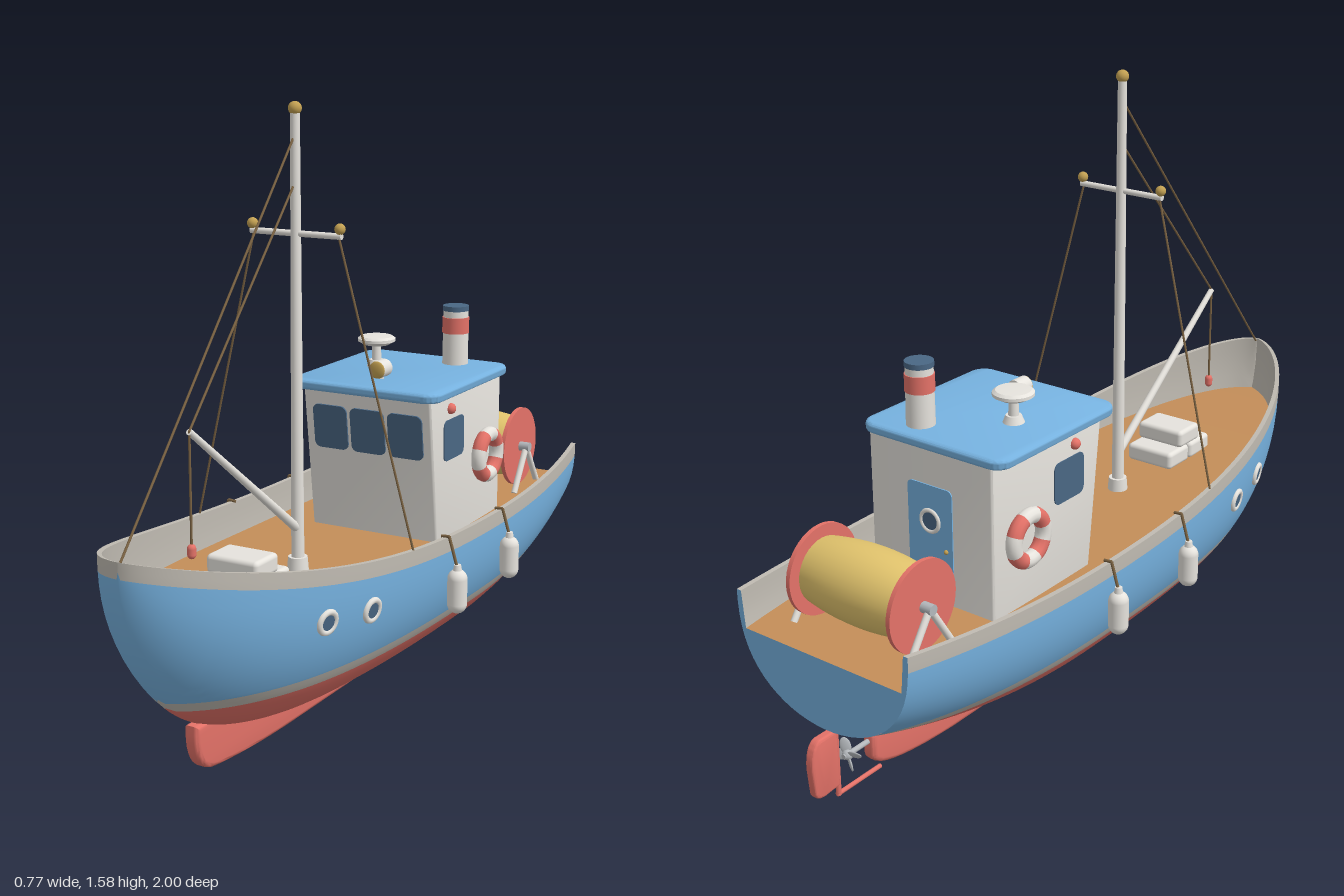
import * as THREE from 'three';
import { toCreasedNormals } from 'three/addons/utils/BufferGeometryUtils.js';
import { RoundedBoxGeometry } from 'three/addons/geometries/RoundedBoxGeometry.js';

const mat = (name, color) => Object.assign(new THREE.MeshStandardMaterial({ color }), { name });

// hull lines: rail height, half width, bottom profile, deck height
const sheer = z => z > -0.3 ? 0.47 + 0.16 * ((z + 0.3) / 1.3) ** 2.3 : 0.47 + 0.025 * ((-0.3 - z) / 0.64) ** 2;
const beam = z => z > -0.2 ? 0.335 * (1 - Math.min(1, (z + 0.2) / 1.2) ** 2.8) ** 0.6 : 0.335 - 0.065 * ((-0.2 - z) / 0.74) ** 2.2;
const bottom = z => z > 0.3 ? 0.08 + 0.55 * (1 - Math.sqrt(Math.max(0, 1 - ((z - 0.3) / 0.7) ** 2.8)))
  : 0.08 + 0.13 * (Math.max(0, -0.2 - z) / 0.74) ** 2;
const deckY = z => 0.385 + 0.6 * (sheer(z) - 0.475);
function hullX(z, y) {
  const k = bottom(z), t = THREE.MathUtils.clamp((y - k) / Math.max(1e-4, sheer(z) - k), 0, 1);
  const e = 0.5 + 0.35 * Math.max(0, (z + 0.2) / 1.2) ** 3;
  return beam(z) * (1 - (1 - t) ** 2.6) ** e;
}
const inner = (z, y) => Math.max(0, hullX(z, y) - 0.014);
const STERN = -0.94, NU = 72;
const station = u => STERN + (1 - STERN) * Math.sin(u * Math.PI / 2);

// surface through a grid of points; bands = rows per material group
function surface(nv, fn, flip, bands) {
  const pos = [], idx = [], g = new THREE.BufferGeometry();
  for (let j = 0; j <= nv; j++) for (let i = 0; i <= NU; i++) pos.push(...fn(station(i / NU), j));
  for (let j = 0; j < nv; j++) for (let i = 0; i < NU; i++) {
    const a = j * (NU + 1) + i, b = a + 1, c = a + NU + 1, d = c + 1;
    idx.push(...(flip ? [a, c, b, b, c, d] : [a, b, c, b, d, c]));
  }
  g.setAttribute('position', new THREE.Float32BufferAttribute(pos, 3));
  g.setIndex(idx);
  let row = 0;
  if (bands) bands.forEach((n, m) => { g.addGroup(row * NU * 6, n * NU * 6, m); row += n; });
  g.computeVertexNormals();
  return g;
}

// plate with a (z, y) outline, centred across x
function sidePlate(shape, width, bevel) {
  const depth = width - 2 * bevel;
  const g = new THREE.ExtrudeGeometry(shape, { depth, bevelSize: bevel, bevelThickness: bevel, bevelOffset: -bevel, bevelSegments: 3, curveSegments: 10 });
  return toCreasedNormals(g.translate(0, 0, -depth / 2).rotateY(-Math.PI / 2), 0.6);
}
const outline = pts => new THREE.Shape(pts.map(p => new THREE.Vector2(...p)));
function roundRect(w, h, r) {
  const s = new THREE.Shape(), x = w / 2, y = h / 2;
  s.absarc(x - r, y - r, r, 0, Math.PI / 2);
  s.absarc(-x + r, y - r, r, Math.PI / 2, Math.PI);
  s.absarc(-x + r, -y + r, r, Math.PI, Math.PI * 1.5);
  s.absarc(x - r, -y + r, r, Math.PI * 1.5, Math.PI * 2);
  return s;
}
const pane = (w, h, r) => new THREE.ExtrudeGeometry(roundRect(w, h, r), { depth: 0.008, bevelEnabled: false, curveSegments: 6 });

export function createModel() {
  const boat = new THREE.Group();
  boat.name = 'fishingBoat';
  const blue = mat('blue paint', 0x77b3e1), red = mat('red paint', 0xe47268), white = mat('white paint', 0xe6e3dd),
    trim = mat('grey trim', 0xc0bbb2), wood = mat('deck wood', 0xc48e59), net = mat('yellow net', 0xe2c46d),
    brass = mat('brass', 0xc2a052), glass = mat('dark glass', 0x4a6784), rope = mat('rope', 0x7a6242), metal = mat('metal', 0xb4b8bc);

  const add = (name, geo, m, x = 0, y = 0, z = 0, parent = boat) => {
    const mesh = new THREE.Mesh(geo, m);
    mesh.name = name;
    mesh.position.set(x, y, z);
    parent.add(mesh);
    return mesh;
  };
  const cyl = (r1, r2, h, n = 24) => new THREE.CylinderGeometry(r1, r2, h, n);
  const ball = r => new THREE.SphereGeometry(r, 20, 14);
  const Y = new THREE.Vector3(0, 1, 0), Z = new THREE.Vector3(0, 0, 1);
  const rod = (name, a, b, r, m, r2 = r, n = 12) => {
    const A = new THREE.Vector3(...a), B = new THREE.Vector3(...b), d = B.clone().sub(A);
    const mesh = add(name, cyl(r2, r, d.length(), n), m);
    mesh.position.copy(A.add(B).multiplyScalar(0.5));
    mesh.quaternion.setFromUnitVectors(Y, d.normalize());
  };

  // hull sides in four painted bands, bulwark inside and rail cap
  const bands = [10, 2, 10, 2];
  for (const s of [1, -1]) {
    const hullPoint = (z, j) => {
      const k = bottom(z), top = sheer(z), lim = [k, 0.22, 0.25, top - 0.04, top].map(v => Math.max(k, v));
      let b = 0;
      while (b < 3 && j > bands[b]) j -= bands[b++];
      const y = lim[b] + (lim[b + 1] - lim[b]) * (j / bands[b]) ** [2, 1, 1.5, 1][b];
      return [s * hullX(z, y), y, z];
    };
    add('hullSide', surface(24, hullPoint, s > 0, bands), [red, trim, blue, trim]);
    add('bulwarkInside', surface(4, (z, j) => {
      const low = Math.max(deckY(z), bottom(z)), y = low + (sheer(z) - low) * j / 4;
      return [s * inner(z, y), y, z];
    }, s < 0), trim);
    add('railCap', surface(1, (z, j) => [s * (j ? beam(z) : inner(z, sheer(z))), sheer(z), z], s < 0), trim);
  }
  add('deck', surface(2, (z, j) => [(j - 1) * inner(z, deckY(z)), deckY(z), z], false), wood);

  // transom, open above the deck
  const half = [], yb = bottom(STERN), yt = sheer(STERN), yd = deckY(STERN);
  for (let i = 0; i <= 16; i++) {
    const y = yb + (yt - yb) * (i / 16) ** 2;
    half.push([hullX(STERN, y), y]);
  }
  half.push([inner(STERN, yt), yt], [inner(STERN, yd), yd]);
  const mirrored = half.slice(1).reverse().map(([x, y]) => [-x, y]);
  add('transom', new THREE.ShapeGeometry(outline([...half, ...mirrored])).rotateY(Math.PI), blue, 0, 0, STERN);

  // keel, rudder, skeg and propeller
  const keel = new THREE.Shape();
  keel.moveTo(0.74, 0.15);
  keel.quadraticCurveTo(0.75, 0.03, 0.66, 0.02);
  keel.quadraticCurveTo(0.5, 0, 0.3, 0);
  keel.lineTo(-0.5, 0);
  keel.quadraticCurveTo(-0.8, 0.01, -0.8, 0.07);
  keel.lineTo(-0.8, 0.12);
  keel.quadraticCurveTo(-0.79, 0.15, -0.72, 0.16);
  add('keel', sidePlate(keel, 0.04, 0.012), red);
  const rudder = new THREE.Shape();
  rudder.moveTo(-0.912, 0.2);
  rudder.lineTo(-0.97, 0.2);
  rudder.quadraticCurveTo(-1, 0.19, -1, 0.13);
  rudder.lineTo(-0.993, 0.06);
  rudder.quadraticCurveTo(-0.99, 0.04, -0.96, 0.04);
  rudder.lineTo(-0.909, 0.045);
  add('rudder', sidePlate(rudder, 0.026, 0.008), red);
  rod('skeg', [0, 0.015, -0.76], [0, 0.015, -0.912], 0.006, red);
  rod('rudderPost', [0, 0.012, -0.907], [0, 0.24, -0.907], 0.007, red);
  rod('propellerShaft', [0, 0.105, -0.78], [0, 0.105, -0.885], 0.007, metal);
  add('propellerHub', ball(0.014), metal, 0, 0.105, -0.87);
  for (let i = 0; i < 4; i++) {
    const a = i * Math.PI / 2 + 0.3;
    const blade = add('propellerBlade', ball(1), metal, Math.sin(a) * 0.023, 0.105 + Math.cos(a) * 0.023, -0.87);
    blade.scale.set(0.014, 0.022, 0.004);
    blade.rotation.set(0, 0, -a);
    blade.rotateY(0.6);
  }

  // wheelhouse
  add('wheelhouse', sidePlate(outline([[-0.157, 0.37], [-0.545, 0.37], [-0.545, 0.79], [-0.105, 0.79]]), 0.39, 0.008), white);
  const roof = new THREE.ExtrudeGeometry(roundRect(0.45, 0.48, 0.045), { depth: 0.008, bevelSize: 0.01, bevelThickness: 0.01, bevelOffset: -0.01, bevelSegments: 4, curveSegments: 8 });
  add('roof', toCreasedNormals(roof.rotateX(-Math.PI / 2), 0.6), blue, 0, 0.793, -0.31);
  for (const x of [-0.115, 0, 0.115])
    add('frontWindow', pane(0.104, 0.125, 0.018), glass, x, 0.678, -0.122).rotation.x = 0.123;
  add('door', pane(0.14, 0.3, 0.015), blue, 0, 0.545, -0.54).rotation.y = Math.PI;
  add('doorPortholeGlass', cyl(0.026, 0.026, 0.004).rotateX(Math.PI / 2), glass, 0, 0.6, -0.548);
  add('doorPortholeRing', new THREE.TorusGeometry(0.028, 0.006, 10, 24), white, 0, 0.6, -0.547);
  add('doorHandle', ball(0.006), brass, -0.05, 0.53, -0.549);
  for (const s of [1, -1]) {
    add('sideWindow', pane(0.12, 0.112, 0.018), glass, s * 0.19, 0.657, -0.245).rotation.y = s * Math.PI / 2;
    add('sideLamp', ball(0.015), red, s * 0.197, 0.743, -0.222);
    const buoy = new THREE.Group();
    buoy.name = 'lifebuoy';
    buoy.position.set(s * 0.212, 0.57, -0.43);
    buoy.rotation.y = s * Math.PI / 2;
    boat.add(buoy);
    for (let i = 0; i < 8; i++)
      add('lifebuoySegment', new THREE.TorusGeometry(0.058, 0.021, 12, 6, Math.PI / 4), i % 2 ? white : red, 0, 0, 0, buoy).rotation.z = (i + 0.5) * Math.PI / 4;
  }

  // roof fittings: funnel, radar, search lamp
  add('funnel', cyl(0.035, 0.037, 0.17), white, 0.085, 0.885, -0.475);
  add('funnelBand', cyl(0.038, 0.038, 0.045), red, 0.085, 0.922, -0.475);
  add('funnelCap', cyl(0.037, 0.037, 0.014), glass, 0.085, 0.97, -0.475);
  add('radarBase', cyl(0.02, 0.028, 0.02), white, -0.09, 0.82, -0.33);
  add('radarPost', cyl(0.012, 0.014, 0.07), white, -0.09, 0.85, -0.33);
  const dish = [[0, -0.014], [0.035, -0.012], [0.053, -0.002], [0.053, 0.006], [0.045, 0.012], [0, 0.014]].map(p => new THREE.Vector2(...p));
  add('radarDish', toCreasedNormals(new THREE.LatheGeometry(dish, 28), 0.6), white, -0.09, 0.885, -0.33);
  add('searchLampPost', cyl(0.009, 0.009, 0.03), white, 0, 0.82, -0.19);
  add('searchLamp', cyl(0.024, 0.024, 0.044).rotateX(Math.PI / 2), white, 0, 0.838, -0.19);
  add('searchLampLens', new THREE.SphereGeometry(0.024, 20, 8, 0, Math.PI * 2, 0, Math.PI / 2).rotateX(Math.PI / 2).scale(1, 1, 0.3), brass, 0, 0.838, -0.168);

  // mast, crossbar, boom and rigging
  const mz = 0.25, md = deckY(mz);
  rod('mast', [0, md, mz], [0, 1.555, mz], 0.017, white, 0.012, 20);
  add('mastCollar', cyl(0.025, 0.028, 0.035), white, 0, md + 0.017, mz);
  add('mastBall', ball(0.017), brass, 0, 1.561, mz);
  rod('crossbar', [-0.13, 1.258, mz], [0.13, 1.258, mz], 0.008, white);
  rod('boom', [0, 0.51, 0.26], [0, 0.86, 0.72], 0.012, white, 0.008);
  rod('forestay', [0, 1.5, mz], [0, 0.625, 0.99], 0.003, rope);
  rod('boomStay', [0, 1.385, mz], [0, 0.86, 0.72], 0.003, rope);
  rod('hookLine', [0, 0.86, 0.72], [0, 0.58, 0.72], 0.003, rope);
  add('hookWeight', new THREE.CapsuleGeometry(0.011, 0.014, 6, 14), red, 0, 0.575, 0.72);
  for (const s of [1, -1]) {
    add('crossbarBall', ball(0.014), brass, s * 0.125, 1.276, mz);
    rod('shroud', [s * 0.122, 1.255, mz], [s * 0.32, 0.485, 0.225], 0.003, rope);
  }

  // hull portholes and fenders on both sides
  for (const s of [1, -1]) {
    for (const [z, y] of [[0.4, 0.385], [0.56, 0.4]]) {
      const d = 0.01, x = hullX(z, y);
      const n = new THREE.Vector3(s, -(hullX(z, y + d) - x) / d, -(hullX(z + d, y) - x) / d).normalize();
      const port = new THREE.Group();
      port.name = 'hullPorthole';
      port.position.set(s * x, y, z);
      port.quaternion.setFromUnitVectors(Z, n);
      boat.add(port);
      add('portholeRing', new THREE.TorusGeometry(0.026, 0.008, 10, 24), white, 0, 0, 0.001, port);
      add('portholeGlass', cyl(0.025, 0.025, 0.009).rotateX(Math.PI / 2), glass, 0, 0, 0.001, port);
    }
    for (const z of [0.06, -0.26]) {
      const top = sheer(z), x = beam(z);
      add('fender', new THREE.CapsuleGeometry(0.026, 0.066, 8, 20), white, s * 0.361, 0.34, z);
      add('fenderNeck', cyl(0.009, 0.012, 0.018), white, s * 0.361, 0.402, z);
      rod('fenderRope', [s * 0.361, 0.4, z], [s * (x + 0.004), top + 0.004, z], 0.004, rope);
      rod('fenderRopeOverRail', [s * (x + 0.004), top + 0.004, z], [s * (x - 0.018), top + 0.002, z], 0.004, rope);
    }
  }

  // net reel with flanges and A-frame legs
  const ry = 0.512, rz = -0.765;
  const drum = [];
  for (let i = 0; i <= 12; i++) drum.push(new THREE.Vector2(0.1 - 0.016 * (i / 6 - 1) ** 2, (i / 6 - 1) * 0.155));
  add('netDrum', new THREE.LatheGeometry(drum, 32).rotateZ(Math.PI / 2), net, 0, ry, rz);
  rod('reelAxle', [-0.195, ry, rz], [0.195, ry, rz], 0.014, metal);
  for (const s of [1, -1]) {
    add('reelFlange', cyl(0.116, 0.116, 0.012, 40).rotateZ(Math.PI / 2), red, s * 0.158, ry, rz);
    for (const d of [-0.08, 0.08])
      rod('reelLeg', [s * 0.183, ry, rz], [s * 0.183, deckY(rz + d), rz + d], 0.009, white);
  }

  // stacked fish boxes on the foredeck
  const by = deckY(0.5);
  for (const [dy, z] of [[0.023, 0.455], [0.023, 0.562], [0.073, 0.508]])
    add('fishBox', new RoundedBoxGeometry(0.148, 0.05, 0.102, 3, 0.012), white, 0, by + dy, z);

  return boat;
}
